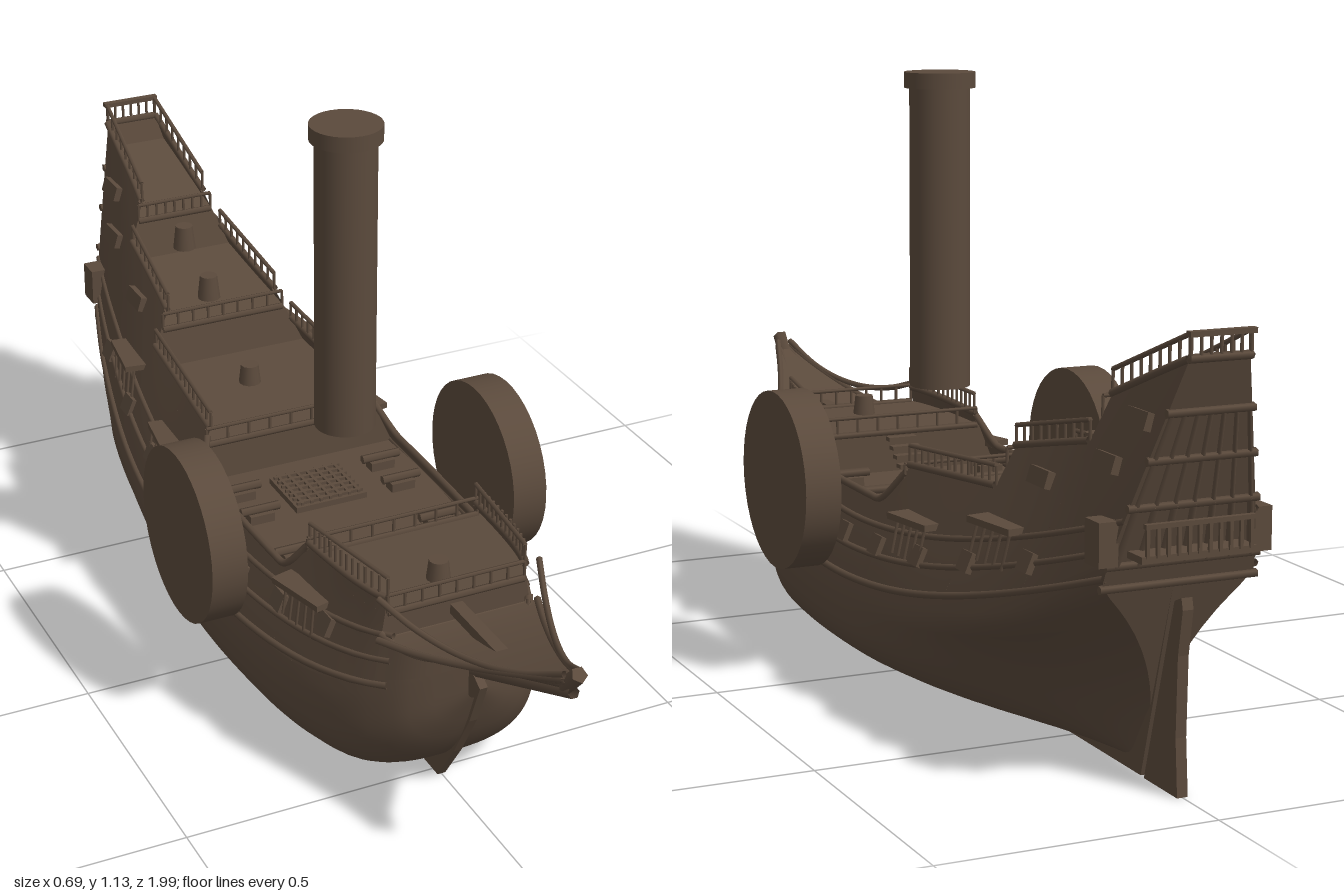
import * as THREE from 'three';

const wood = new THREE.MeshStandardMaterial({ color: 0x5b4a3c, side: THREE.DoubleSide });
wood.name = 'darkWood';

// hull stations: keel height, height of greatest beam, half beam, stern sharpness, tumblehome
const Z = [-0.74, -0.6, -0.4, -0.1, 0.2, 0.4, 0.5, 0.57, 0.62, 0.65];
const FORM = [
  0.02, 0.36, 0.14, 1, 0.25, 0.02, 0.27, 0.2, 0.6, 0.38, 0.02, 0.21, 0.25, 0.2, 0.48,
  0.02, 0.17, 0.272, 0, 0.46, 0.02, 0.17, 0.268, 0, 0.46, 0.022, 0.18, 0.238, 0, 0.36,
  0.035, 0.2, 0.2, 0, 0.25, 0.09, 0.23, 0.155, 0, 0.15, 0.17, 0.25, 0.1, 0, 0.08, 0.25, 0.27, 0.02, 0, 0,
];
const form = new THREE.CubicInterpolant(new Float32Array(Z), new Float32Array(FORM), 5);
const { clamp, lerp } = THREE.MathUtils;

function half(z, y) {
  const [keel, yb, beam, sharp, k] = form.evaluate(z);
  if (y < yb) {
    const t = clamp((y - keel) / (yb - keel), 0, 1);
    return Math.max(0.004, beam * lerp((1 - (1 - t) ** 3) ** 0.35, t ** 2.6, clamp(sharp, 0, 1)));
  }
  return Math.max(0.004, beam - k * (Math.hypot(y - yb, 0.05) - 0.05));
}
// point on the hull; s is the share of the half width, the stern rakes aft with height
function P(z, y, s = 1, out = 0) {
  const x = half(z, y) + out;
  return new THREE.Vector3(s * x, y, z - 0.32 * y * clamp((-z - 0.1) / 0.64, 0, 1));
}

// surface from a rule f(u, v)
function grid(f, nu, nv) {
  const pos = [], idx = [];
  for (let i = 0; i <= nu; i++) for (let j = 0; j <= nv; j++) {
    pos.push(...f(i / nu, j / nv).toArray());
    if (i < nu && j < nv) {
      const a = i * (nv + 1) + j, b = a + nv + 1;
      idx.push(a, b, a + 1, b, b + 1, a + 1);
    }
  }
  const g = new THREE.BufferGeometry();
  g.setAttribute('position', new THREE.Float32BufferAttribute(pos, 3));
  g.setIndex(idx);
  g.computeVertexNormals();
  return g;
}

// raised deck zones: z range, bulwark top and deck height at each end, rail height
const ZONES = [
  { name: 'poop', z: [-0.74, -0.59], top: [0.75, 0.66], deck: [0.7, 0.62], rail: 0.04 },
  { name: 'upperQuarterdeck', z: [-0.59, -0.41], top: [0.58, 0.53], deck: [0.54, 0.49], rail: 0.035 },
  { name: 'quarterdeck', z: [-0.41, -0.14], top: [0.46, 0.435], deck: [0.41, 0.4], rail: 0.035 },
  { name: 'waist', z: [-0.14, 0.31], top: [0.36, 0.36], deck: [0.32, 0.32], rail: 0 },
  { name: 'forecastle', z: [0.31, 0.56], top: [0.425, 0.44], deck: [0.4, 0.41], rail: 0.04 },
  { name: 'bow', z: [0.56, 0.65], top: [0.37, 0.33], deck: [0.36, 0.325], rail: 0 },
];

export function createModel() {
  const root = new THREE.Group();
  const add = (name, geo, x = 0, y = 0, z = 0) => {
    const m = new THREE.Mesh(geo, wood);
    m.name = name;
    m.position.set(x, y, z);
    root.add(m);
    return m;
  };
  const box = (name, w, h, d, x, y, z) => add(name, new THREE.BoxGeometry(w, h, d), x, y, z);
  const bar = (name, a, b, r) => {
    const m = add(name, new THREE.CylinderGeometry(r, r, a.distanceTo(b), 5));
    m.position.copy(a).lerp(b, 0.5);
    m.quaternion.setFromUnitVectors(new THREE.Vector3(0, 1, 0), b.clone().sub(a).normalize());
  };
  const tube = (name, pts, r) =>
    add(name, new THREE.TubeGeometry(new THREE.CatmullRomCurve3(pts), 40, r, 6));
  const plate = (name, pts, t) => {
    const shape = new THREE.Shape(pts.map(([z, y]) => new THREE.Vector2(-z, y)));
    const g = new THREE.ExtrudeGeometry(shape, { depth: t, bevelEnabled: false });
    add(name, g.translate(0, 0, -t / 2).rotateY(Math.PI / 2));
  };
  const belt = (z) => form.evaluate(z)[1] + 0.05;
  const sides = [1, -1];

  // lower hull, topsides, decks and bulkheads
  for (const s of sides) {
    add('lowerHull', grid((u, v) => {
      const z = lerp(-0.74, 0.65, u), k = form.evaluate(z)[0];
      return P(z, lerp(k, belt(z), v * v), s * (v === 0 ? 0 : 1));
    }, 70, 20));
  }
  ZONES.forEach((q, i) => {
    const at = (a, u) => lerp(a[0], a[1], u);
    const top = (u) => {
      const d = Math.min(u, 1 - u) * 0.45;
      return at(q.top, u) + (q.name === 'waist' ? 0.06 * Math.max(0, 1 - d / 0.06) ** 2 : 0);
    };
    for (const s of sides) {
      add(q.name + 'Side', grid((u, v) => {
        const z = at(q.z, u), b = belt(z);
        return P(z, lerp(b, Math.max(top(u), b), v), s);
      }, 18, 8));
      const cap = [];
      for (let k = 0; k <= 10; k++) cap.push(P(at(q.z, k / 10), top(k / 10), s, 0.002));
      tube(q.name + 'CapRail', cap, 0.007);
      if (!q.rail) continue;
      // open railing
      const n = Math.round((q.z[1] - q.z[0]) / 0.02);
      const up = new THREE.Vector3(0, q.rail, 0);
      const foot = (k) => P(at(q.z, k / n), top(k / n), s);
      for (let k = 0; k <= n; k++) bar('baluster', foot(k), foot(k).add(up), 0.003);
      bar('handRail', foot(0).add(up), foot(n).add(up), 0.0045);
    }
    add(q.name + 'Deck', grid((u, v) => P(at(q.z, u), at(q.deck, u), 2 * v - 1), 12, 4));
    const next = ZONES[i + 1];
    if (next) {
      const a = q.deck[1], b = next.deck[0];
      add('bulkhead', grid((u, v) => P(q.z[1], lerp(a, b, u), 2 * v - 1), 2, 4));
      const y = Math.max(a, b), l = P(q.z[1], y, 0.97), r = P(q.z[1], y, -0.97);
      bar('deckBeam', l, r, 0.007);
      const up = new THREE.Vector3(0, 0.035, 0);
      bar('breastRail', l.clone().add(up), r.clone().add(up), 0.004);
      for (let k = 0; k <= 8; k++) {
        const p = l.clone().lerp(r, k / 8);
        bar('breastPost', p, p.clone().add(up), 0.003);
      }
    }
  });

  // transom with window bars, balcony and taffrail
  add('transom', grid((u, v) => P(-0.74, lerp(0.03, 0.75, u), 2 * v - 1), 30, 4));
  for (const y of [0.36, 0.4, 0.5, 0.58, 0.66, 0.75]) {
    bar('transomMoulding', P(-0.742, y, 1.04), P(-0.742, y, -1.04), 0.008);
  }
  for (let k = -3; k <= 3; k++) {
    bar('windowPost', P(-0.744, 0.4, k / 3.3), P(-0.744, 0.5, k / 3.3), 0.006);
    bar('upperWindowPost', P(-0.744, 0.5, k / 3.3), P(-0.744, 0.66, k / 3.3), 0.004);
    bar('taffrailPost', P(-0.744, 0.75, k / 3), P(-0.744, 0.75, k / 3).setY(0.79), 0.003);
  }
  box('taffrail', 0.12, 0.009, 0.014, 0, 0.79, -0.985);
  box('balconyFloor', 0.21, 0.012, 0.05, 0, 0.42, -0.9);
  box('balconyRail', 0.2, 0.008, 0.01, 0, 0.475, -0.925);
  for (let k = -5; k <= 5; k++) box('balconyPost', 0.006, 0.055, 0.006, k * 0.019, 0.45, -0.925);

  // wales, channels, gun ports and side galleries
  for (const s of sides) {
    for (const [y0, r] of [[0.215, 0.007], [0.265, 0.006], [0.315, 0.006]]) {
      const pts = [];
      for (let k = 0; k <= 24; k++) {
        const z = lerp(-0.74, 0.58, k / 24);
        pts.push(P(z, y0 + (z < 0 ? 0.3 : 0.17) * z * z, s));
      }
      tube('wale', pts, r);
    }
    for (const [z, y] of [[-0.48, 0.41], [-0.25, 0.36], [0.36, 0.36]]) {
      const p = P(z, y, s, 0.012);
      box('channel', 0.045, 0.012, 0.13, p.x, p.y, p.z).rotation.y = s * (z < 0 ? 0.14 : -0.25);
      for (let k = -2; k <= 2; k++) {
        const f = P(z + k * 0.024, y - 0.07, s, 0.002);
        bar('chainPlate', f, P(z + k * 0.024, y, s, 0.02), 0.003);
      }
    }
    for (let k = 0; k < 8; k++) {
      const z = -0.58 + k * 0.145, p = P(z, 0.285 + 0.25 * z * z, s, 0.004);
      const m = box('gunPort', 0.012, 0.036, 0.042, p.x, p.y, p.z);
      m.rotation.z = s * 0.4;
    }
    for (const [z, y] of [[-0.52, 0.5], [-0.66, 0.56], [-0.69, 0.64]]) {
      const p = P(z, y, s, 0.004);
      box('sidePanel', 0.018, 0.03, 0.07, p.x, p.y, p.z).rotation.z = s * 0.3;
    }
    const g = P(-0.72, 0.44, s, 0.008);
    box('quarterGallery', 0.035, 0.075, 0.05, g.x, g.y, g.z);
  }

  // keel with stem and sternpost, rudder
  plate('keel', [[0.52, 0], [0.58, 0.09], [0.635, 0.19], [0.67, 0.28], [0.62, 0.31], [0.55, 0.15],
    [0.48, 0.035], [-0.7, 0.035], [-0.82, 0.36], [-0.855, 0.36], [-0.75, 0]], 0.016);
  plate('rudder', [[-0.765, 0], [-0.88, 0], [-0.872, 0.1], [-0.876, 0.24], [-0.89, 0.32],
    [-0.885, 0.34], [-0.862, 0.33]], 0.02);

  // beakhead with curved rails and a figure post at its tip
  const bw = (t) => 0.145 * (1 - t) ** 1.1 + 0.014;
  const by = (t) => 0.365 + 0.115 * t ** 1.5;
  const bk = (t) => 0.275 + 0.185 * t;
  const beak = (t, v, s) => new THREE.Vector3(s * Math.max(0.006, bw(t) * v ** 1.5), lerp(bk(t), by(t), v), 0.57 + 0.39 * t);
  for (const s of sides) {
    add('beakSide', grid((u, v) => beak(u, v, s), 20, 8));
    const ts = [0, 0.2, 0.4, 0.6, 0.8, 1];
    for (const v of [1, 0.7, 0.35]) tube('beakRail', ts.map((t) => beak(t, v, s)), 0.007);
    tube('headRail', ts.map((t) => new THREE.Vector3(s * bw(t), 0.45 - 0.16 * t + 0.2 * t * t, 0.57 + 0.39 * t)), 0.006);
  }
  add('beakDeck', grid((u, v) => beak(u, 1, 2 * v - 1), 14, 2));
  tube('beakKnee', [0, 0.3, 0.6, 1].map((t) => new THREE.Vector3(0, bk(t) - 0.004, 0.58 + 0.39 * t)), 0.011);
  bar('figurePost', new THREE.Vector3(0, 0.455, 0.945), new THREE.Vector3(0, 0.5, 0.985), 0.015);
  box('bowspritStep', 0.024, 0.02, 0.18, 0, 0.385, 0.65);

  // deck fittings
  box('hatchCoaming', 0.15, 0.012, 0.13, 0, 0.327, -0.02);
  for (let k = -3; k <= 3; k++) {
    box('gratingBar', 0.006, 0.008, 0.12, k * 0.02, 0.335, -0.02);
    box('gratingCrossBar', 0.14, 0.008, 0.006, 0, 0.335, -0.02 + k * 0.018);
  }
  for (let k = 0; k < 5; k++) box('stairStep', 0.06, 0.008, 0.02, 0, 0.33 + k * 0.015, 0.22 + k * 0.018);
  for (const [y, z] of [[0.42, 0.49], [0.42, -0.35], [0.53, -0.56], [0.59, -0.69]]) {
    add('capstan', new THREE.CylinderGeometry(0.018, 0.024, 0.05, 12), 0, y, z);
  }
  for (const s of sides) {
    for (const z of [-0.05, 0.04, 0.2]) {
      box('gunCarriage', 0.05, 0.018, 0.028, s * 0.15, 0.332, z);
      bar('gunBarrel', new THREE.Vector3(s * 0.11, 0.348, z), new THREE.Vector3(s * 0.19, 0.348, z), 0.009);
    }
  }

  // paddle wheels and smokestack
  for (const s of sides) {
    const g = new THREE.CylinderGeometry(0.17, 0.17, 0.07, 40).rotateZ(Math.PI / 2);
    add('paddleWheel', g, s * 0.31, 0.372, 0.1);
  }
  add('smokestack', new THREE.CylinderGeometry(0.058, 0.058, 0.58, 32), 0, 0.82, 0.1);
  add('smokestackCap', new THREE.CylinderGeometry(0.068, 0.068, 0.03, 32), 0, 1.12, 0.1);
  return root;
}
